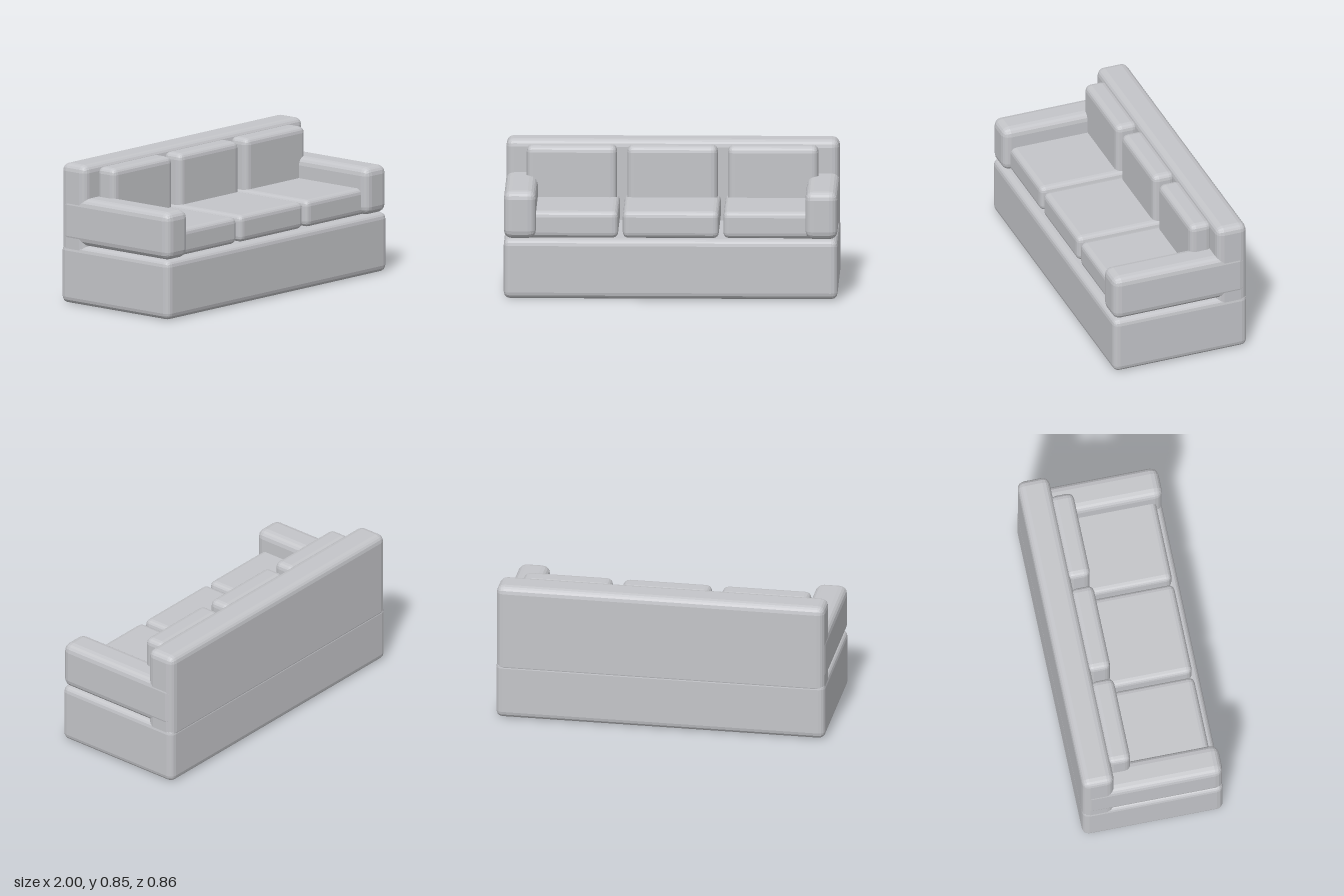
import * as THREE from 'three';
import { RoundedBoxGeometry } from 'three/addons/geometries/RoundedBoxGeometry.js';

export function createModel() {
  const sofa = new THREE.Group();
  sofa.name = 'sofa';
  const fabric = new THREE.MeshStandardMaterial({ color: 0xc4c5c9, flatShading: true });
  fabric.name = 'grey fabric';

  // Padded block given by its extents on each axis
  function block(name, [x0, x1], [y0, y1], [z0, z1], radius) {
    const geometry = new RoundedBoxGeometry(x1 - x0, y1 - y0, z1 - z0, 2, radius);
    const mesh = new THREE.Mesh(geometry, fabric);
    mesh.name = name;
    mesh.position.set((x0 + x1) / 2, (y0 + y1) / 2, (z0 + z1) / 2);
    sofa.add(mesh);
  }

  // Base and backrest
  block('base', [-1, 1], [0, 0.363], [-0.43, 0.43], 0.04);
  block('backrest', [-0.997, 0.997], [0.29, 0.853], [-0.43, -0.235], 0.045);

  // Armrests
  for (const [name, side] of [['leftArm', 1], ['rightArm', -1]]) {
    const x = side * 0.9025;
    block(name, [x - 0.0965, x + 0.0965], [0.363, 0.653], [-0.428, 0.43], 0.05);
  }

  // Three seat cushions with a back cushion behind each
  ['right', 'middle', 'left'].forEach((place, i) => {
    const x = (i - 1) * 0.603;
    block(place + 'SeatCushion', [x - 0.288, x + 0.288], [0.362, 0.525], [-0.26, 0.385], 0.035);
    block(place + 'BackCushion', [x - 0.27, x + 0.27], [0.45, 0.833], [-0.252, -0.11], 0.038);
  });

  return sofa;
}
